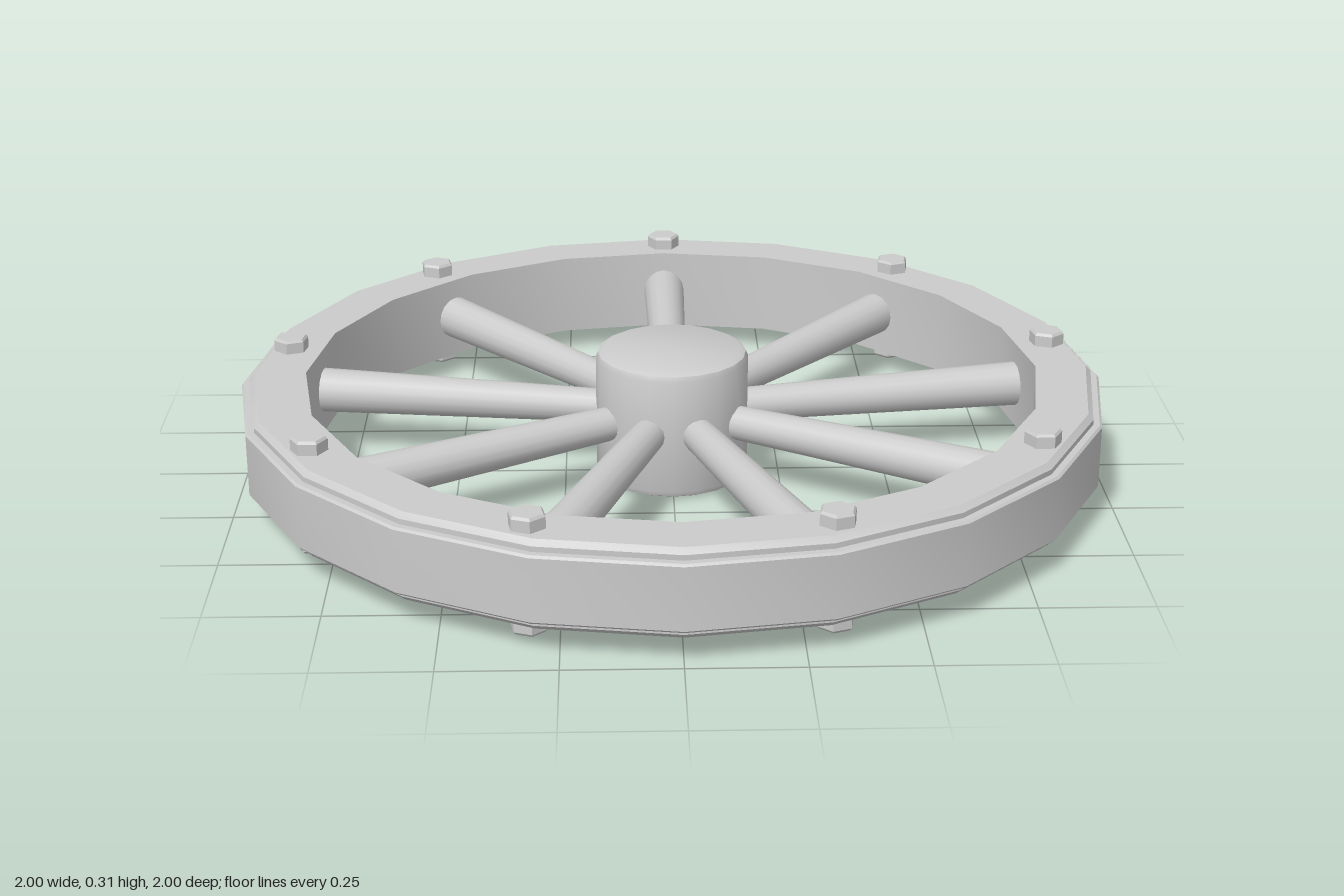
import * as THREE from 'three';
import { toCreasedNormals } from 'three/addons/utils/BufferGeometryUtils.js';

const material = new THREE.MeshStandardMaterial({ color: 0xcccccc });
const MID = 0.153; // height of the wheel's middle plane
const SPOKES = 9;

function addMesh(parent, name, geometry) {
  const mesh = new THREE.Mesh(geometry, material);
  mesh.name = name;
  parent.add(mesh);
  return mesh;
}

// Lathe from [radius, y] pairs running up the outside, with crisp edges
function turned(profile, sides) {
  const points = profile.map(([r, y]) => new THREE.Vector2(r, y));
  return toCreasedNormals(new THREE.LatheGeometry(points, sides).toNonIndexed(), Math.PI / 6);
}

// Mirror an upper half profile (outside to inside) about y = 0
function mirrored(upper) {
  return [...upper.map(([r, y]) => [r, -y]).reverse(), ...upper];
}

export function createModel() {
  const wheel = new THREE.Group();
  wheel.name = 'spokedWheel';

  // Wooden rim, closed back onto its inner face
  const rimProfile = mirrored([[0.98, 0.088], [0.968, 0.1], [0.85, 0.1]]);
  rimProfile.push(rimProfile[0]);
  addMesh(wheel, 'rim', turned(rimProfile, 20)).position.y = MID;

  // Tyre band round the rim
  const tyreProfile = mirrored([[1, 0.071], [0.995, 0.076], [0.96, 0.076]]);
  tyreProfile.push(tyreProfile[0]);
  addMesh(wheel, 'tyre', turned(tyreProfile, 20)).position.y = MID;

  // Hub with bevelled ends
  const hubProfile = mirrored([[0.177, 0.135], [0.172, 0.147], [0.16, 0.153], [0, 0.153]]);
  addMesh(wheel, 'hub', turned(hubProfile, 20)).position.y = MID;

  // Tapered spoke, thicker at the rim, pointing to the back
  const spoke = new THREE.CylinderGeometry(0.053, 0.039, 0.74, 16);
  spoke.rotateX(-Math.PI / 2).translate(0, 0, -0.51);

  // Hexagonal bolt head with a small chamfer
  const bolt = turned([[0, 0], [0.041, 0], [0.041, 0.027], [0.036, 0.033], [0, 0.033]], 6);
  bolt.rotateY(Math.PI / 6);

  for (let i = 0; i < SPOKES; i++) {
    const arm = new THREE.Group();
    arm.name = `spokeWithBolts${i + 1}`;
    arm.position.y = MID;
    arm.rotation.y = (i / SPOKES) * Math.PI * 2;
    addMesh(arm, 'spoke', spoke);
    addMesh(arm, 'upperBolt', bolt).position.set(0, 0.099, -0.915);
    const lower = addMesh(arm, 'lowerBolt', bolt);
    lower.position.set(0, -0.099, -0.915);
    lower.rotation.x = Math.PI;
    wheel.add(arm);
  }
  return wheel;
}
